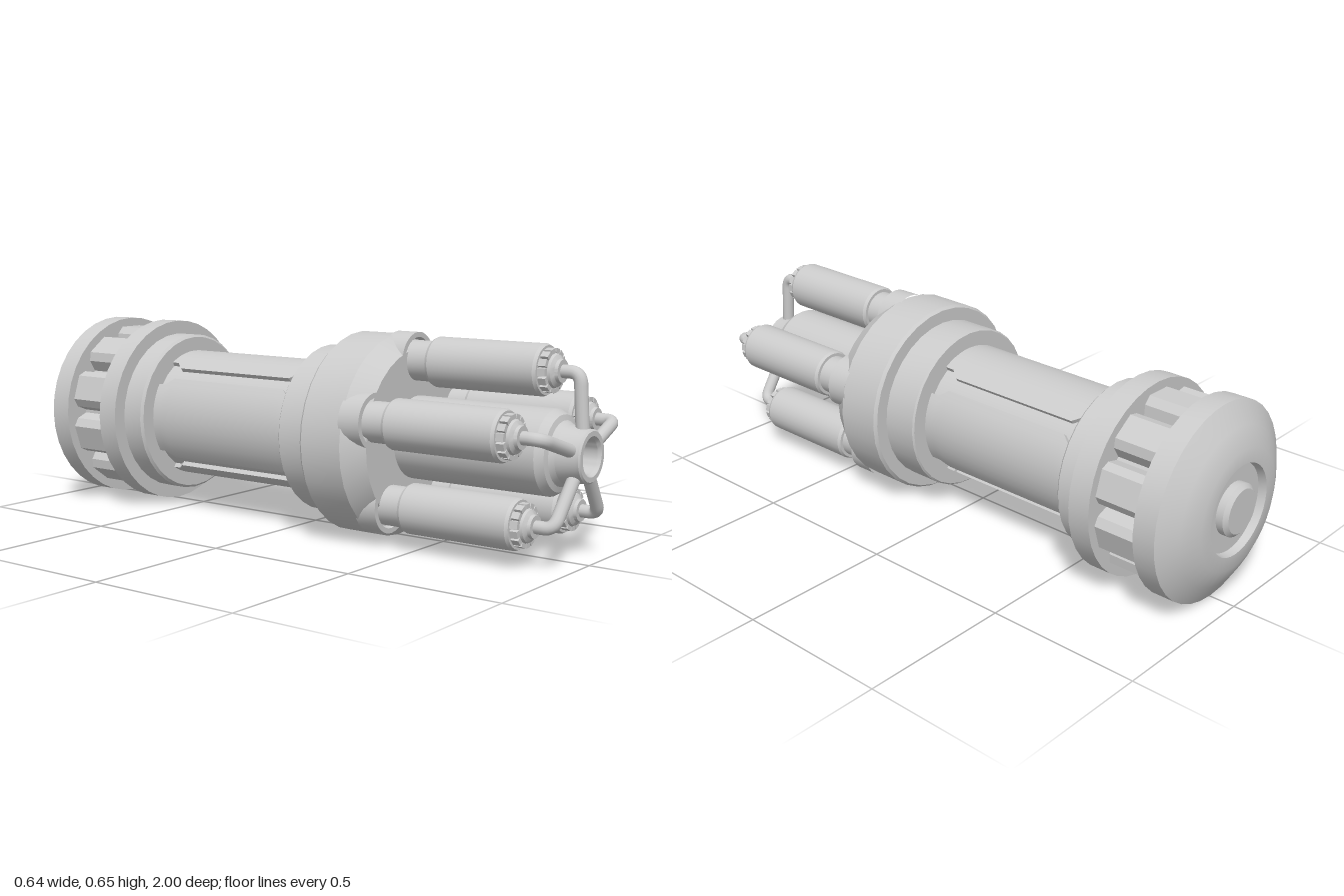
import * as THREE from 'three';
import { toCreasedNormals } from 'three/addons/utils/BufferGeometryUtils.js';

const material = new THREE.MeshStandardMaterial({ color: 0xcccccc });

function addMesh(parent, name, geometry) {
  const mesh = new THREE.Mesh(geometry, material);
  mesh.name = name;
  parent.add(mesh);
  return mesh;
}

// Turned part along z; points are [radius, z] from back to front
function turned(parent, name, points, segments = 32) {
  const profile = points.map(([r, z]) => new THREE.Vector2(r, z));
  const geometry = new THREE.LatheGeometry(profile, segments).rotateX(Math.PI / 2);
  return addMesh(parent, name, toCreasedNormals(geometry, 0.45));
}

// Raised curved panel on the grip, wider in the middle than at its ends
function panelGeometry(angle) {
  const rows = [[-0.54, 0.56], [-0.505, 0.56], [-0.475, 0.68], [-0.005, 0.68], [0.025, 0.56], [0.06, 0.56]];
  const columns = 12;
  const geometry = new THREE.PlaneGeometry(1, 1, columns, rows.length - 1);
  const position = geometry.attributes.position;
  for (let j = 0; j < rows.length; j++) {
    const [z, half] = rows[j];
    for (let i = 0; i <= columns; i++) {
      const edge = i === 0 || i === columns;
      const t = THREE.MathUtils.clamp((i - 1) / (columns - 2), 0, 1) * 2 - 1;
      const a = angle + t * half;
      const r = edge ? 0.195 : 0.215;
      position.setXYZ(j * (columns + 1) + i, Math.cos(a) * r, Math.sin(a) * r, z);
    }
  }
  // Rows run back to front, so reverse the winding if it faces inward
  const index = geometry.index.array;
  const p = [0, 1, 2].map((k) => new THREE.Vector3().fromBufferAttribute(position, index[6 * 6 + k]));
  const normal = p[1].clone().sub(p[0]).cross(p[2].clone().sub(p[0]));
  if (normal.x * p[0].x + normal.y * p[0].y < 0) {
    for (let k = 0; k < index.length; k += 3) [index[k], index[k + 1]] = [index[k + 1], index[k]];
  }
  return toCreasedNormals(geometry, 0.45);
}

// One front canister with its socket, toothed collar and bent pipe
function canister() {
  const group = new THREE.Group();
  group.name = 'canister';
  const cell = new THREE.Group();
  cell.name = 'canisterBody';
  cell.position.y = 0.24;
  group.add(cell);

  turned(cell, 'socket', [[0.088, 0.325], [0.088, 0.4], [0.072, 0.4], [0.066, 0.385], [0, 0.385]], 28);
  turned(cell, 'neck', [[0.063, 0.38], [0.063, 0.475]], 28);
  turned(cell, 'barrel', [[0.06, 0.47], [0.073, 0.47], [0.078, 0.48], [0.078, 0.84],
    [0.073, 0.85], [0.055, 0.85]], 28);
  turned(cell, 'nozzle', [[0.055, 0.845], [0.055, 0.865], [0.048, 0.882], [0.036, 0.89],
    [0.034, 0.9], [0, 0.9]], 24);

  const teeth = 14;
  for (let i = 0; i < teeth; i++) {
    const pivot = new THREE.Group();
    pivot.name = 'toothPivot';
    pivot.rotation.z = (i + 0.5) / teeth * Math.PI * 2;
    const tooth = addMesh(pivot, 'collarTooth', new THREE.BoxGeometry(0.022, 0.014, 0.03));
    tooth.position.set(0, 0.058, 0.86);
    cell.add(pivot);
  }

  // Pipe rises from the nozzle, bends and runs in to the hub
  const path = new THREE.CurvePath();
  const v = (y, z) => new THREE.Vector3(0, y, z);
  path.add(new THREE.LineCurve3(v(0.24, 0.88), v(0.24, 0.925)));
  path.add(new THREE.QuadraticBezierCurve3(v(0.24, 0.925), v(0.24, 0.955), v(0.208, 0.958)));
  path.add(new THREE.LineCurve3(v(0.208, 0.958), v(0.065, 0.967)));
  addMesh(group, 'pipe', new THREE.TubeGeometry(path, 28, 0.02, 14, false));
  return group;
}

export function createModel() {
  const model = new THREE.Group();
  model.name = 'device';
  const body = new THREE.Group();
  body.name = 'body';
  body.position.y = 0.32;
  model.add(body);

  // Rear cap with a ring recess and a central button
  turned(body, 'rearCap', [[0, -0.965], [0.14, -0.965], [0.145, -0.99], [0.19, -0.988], [0.25, -0.958],
    [0.315, -0.918], [0.315, -0.845], [0, -0.845]], 36);
  turned(body, 'rearButton', [[0, -1], [0.07, -1], [0.083, -0.988], [0.083, -0.96]]);

  // Ribbed section
  turned(body, 'ribCore', [[0.23, -0.85], [0.23, -0.68]]);
  const ribShape = new THREE.Shape([[-0.068, 0.19], [0.068, 0.19], [0.063, 0.262], [0.042, 0.285],
    [-0.042, 0.285], [-0.063, 0.262]].map(([x, y]) => new THREE.Vector2(x, y)));
  const ribGeometry = new THREE.ExtrudeGeometry(ribShape, { depth: 0.17, bevelEnabled: false });
  for (let i = 0; i < 10; i++) {
    const rib = addMesh(body, 'rib', ribGeometry);
    rib.position.z = -0.85;
    rib.rotation.z = i / 10 * Math.PI * 2;
  }

  // Rear flange and collar
  turned(body, 'rearFlange', [[0, -0.688], [0.315, -0.688], [0.315, -0.615], [0.2, -0.615]], 36);
  turned(body, 'rearCollar', [[0.27, -0.62], [0.27, -0.54], [0.262, -0.532], [0.18, -0.532]]);

  // Grip with four raised panels
  turned(body, 'grip', [[0.2, -0.54], [0.2, 0.06]]);
  for (let i = 0; i < 4; i++) addMesh(body, 'gripPanel', panelGeometry(i * Math.PI / 2));

  // Front collar and tapered head
  turned(body, 'frontCollar', [[0.18, 0.057], [0.265, 0.057], [0.27, 0.062], [0.27, 0.18]]);
  turned(body, 'head', [[0.2, 0.178], [0.312, 0.178], [0.32, 0.188], [0.32, 0.333],
    [0.276, 0.4], [0, 0.4]], 32);

  // Central hub with an open bore
  turned(body, 'hub', [[0.13, 0.395], [0.13, 0.88], [0.115, 0.905], [0.098, 0.91], [0.088, 0.925],
    [0.08, 0.985], [0.08, 0.995], [0.075, 1], [0.06, 1], [0.053, 0.99], [0.053, 0.925], [0, 0.925]]);

  for (let i = 0; i < 5; i++) {
    const unit = canister();
    unit.rotation.z = i / 5 * Math.PI * 2;
    body.add(unit);
  }
  return model;
}
